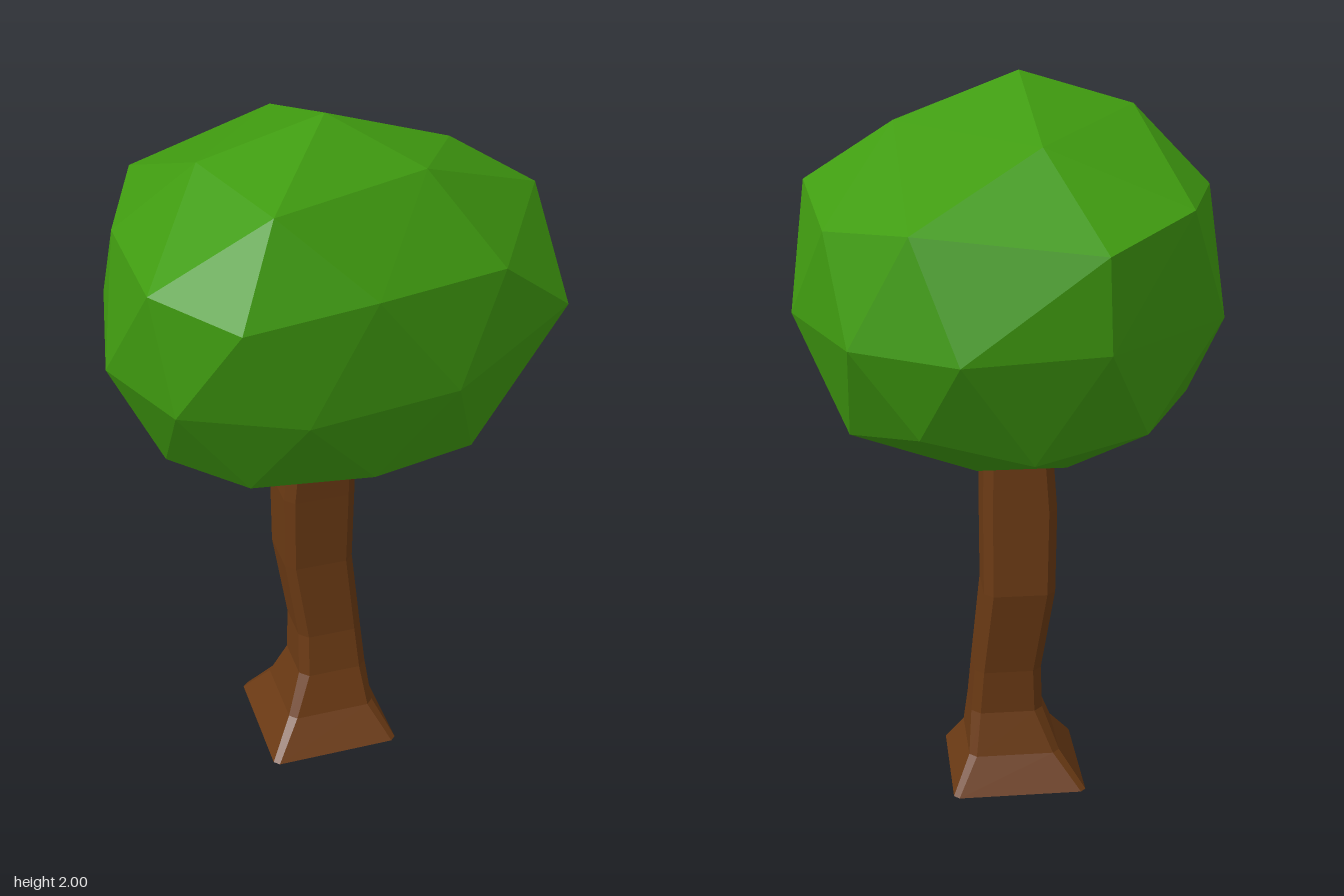
import * as THREE from 'three';
import { ConvexGeometry } from 'three/addons/geometries/ConvexGeometry.js';

const leafMaterial = new THREE.MeshStandardMaterial({ color: 0x409c10, flatShading: true, side: THREE.DoubleSide });
const barkMaterial = new THREE.MeshStandardMaterial({ color: 0x6b3a14, flatShading: true });

// Faceted crown: rings of corner points wrapped in a convex shell, open underneath
function createCrown() {
  const rings = [
    // cap
    [[-0.03, 2.0, 0.17], [-0.25, 1.91, 0.51], [-0.34, 1.91, 0.16], [0.31, 1.88, 0.11],
      [0.17, 1.9, 0.33], [-0.04, 1.86, -0.28]],
    // shoulder
    [[-0.35, 1.68, 0.6], [-0.03, 1.71, 0.59], [0.34, 1.67, 0.44], [0.55, 1.73, 0.11], [0.5, 1.66, -0.25],
      [0.3, 1.69, -0.49], [-0.17, 1.64, -0.53], [-0.41, 1.71, -0.34], [-0.53, 1.71, 0.04], [-0.52, 1.71, 0.41]],
    // waist
    [[-0.48, 1.41, 0.46], [-0.19, 1.4, 0.58], [0.2, 1.41, 0.53], [0.57, 1.48, 0.32], [0.59, 1.41, -0.06],
      [0.45, 1.4, -0.42], [0.19, 1.4, -0.6], [-0.18, 1.4, -0.53], [-0.52, 1.41, -0.23], [-0.59, 1.4, 0.17]],
    // underside
    [[0.01, 1.16, 0.47], [0.31, 1.13, 0.36], [0.5, 1.18, 0.13], [0.45, 1.11, -0.18], [0.28, 1.17, -0.43],
      [0, 1.11, -0.48], [-0.3, 1.15, -0.38], [-0.46, 1.17, -0.08], [-0.45, 1.1, 0.15], [-0.29, 1.14, 0.4]],
    // rim of the opening
    [[-0.19, 1, 0.07], [0, 1, 0.2], [0.2, 1, 0.06], [0.12, 1, -0.19], [-0.12, 1, -0.19]],
  ];
  const points = rings.flat().map((p) => new THREE.Vector3(...p));
  const hull = new ConvexGeometry(points).getAttribute('position');

  // Leave out the flat faces that would close the opening
  const kept = [];
  for (let i = 0; i < hull.count; i += 3) {
    const corners = [i, i + 1, i + 2];
    if (corners.every((c) => hull.getY(c) < 1.01)) continue;
    corners.forEach((c) => kept.push(hull.getX(c), hull.getY(c), hull.getZ(c)));
  }
  const geometry = new THREE.BufferGeometry();
  geometry.setAttribute('position', new THREE.Float32BufferAttribute(kept, 3));
  geometry.computeVertexNormals();
  const crown = new THREE.Mesh(geometry, leafMaterial);
  crown.name = 'crown';
  return crown;
}

// Crooked trunk: square sections with trimmed corners, joined from flared foot to top
function createTrunk() {
  // y, min x, max x, min z, max z, corner trim
  const sections = [
    [0, -0.19, 0.19, -0.17, 0.21, 0.015],
    [0.1, -0.12, 0.14, -0.115, 0.14, 0.02],
    [0.22, -0.075, 0.13, -0.08, 0.1, 0.025],
    [0.35, -0.07, 0.12, -0.085, 0.08, 0.025],
    [0.6, -0.105, 0.095, -0.12, 0.07, 0.025],
    [0.84, -0.11, 0.095, -0.11, 0.085, 0.025],
    [1.12, -0.09, 0.09, -0.1, 0.105, 0.025],
  ];
  const sides = 8;
  const positions = [];
  for (const [y, x0, x1, z0, z1, t] of sections) {
    const outline = [
      [x1, z1 - t], [x1, z0 + t], [x1 - t, z0], [x0 + t, z0],
      [x0, z0 + t], [x0, z1 - t], [x0 + t, z1], [x1 - t, z1],
    ];
    outline.forEach(([x, z]) => positions.push(x, y, z));
  }
  const index = [];
  const last = (sections.length - 1) * sides;
  for (let s = 0; s < last; s += sides) {
    for (let i = 0; i < sides; i++) {
      const a = s + i;
      const b = s + ((i + 1) % sides);
      index.push(a, b, b + sides, a, b + sides, a + sides);
    }
  }
  // End caps
  for (let i = 1; i < sides - 1; i++) {
    index.push(0, i + 1, i);
    index.push(last, last + i, last + i + 1);
  }
  const geometry = new THREE.BufferGeometry();
  geometry.setAttribute('position', new THREE.Float32BufferAttribute(positions, 3));
  geometry.setIndex(index);
  const flat = geometry.toNonIndexed();
  flat.computeVertexNormals();
  const trunk = new THREE.Mesh(flat, barkMaterial);
  trunk.name = 'trunk';
  return trunk;
}

export function createModel() {
  const tree = new THREE.Group();
  tree.name = 'tree';
  tree.add(createTrunk(), createCrown());
  return tree;
}
